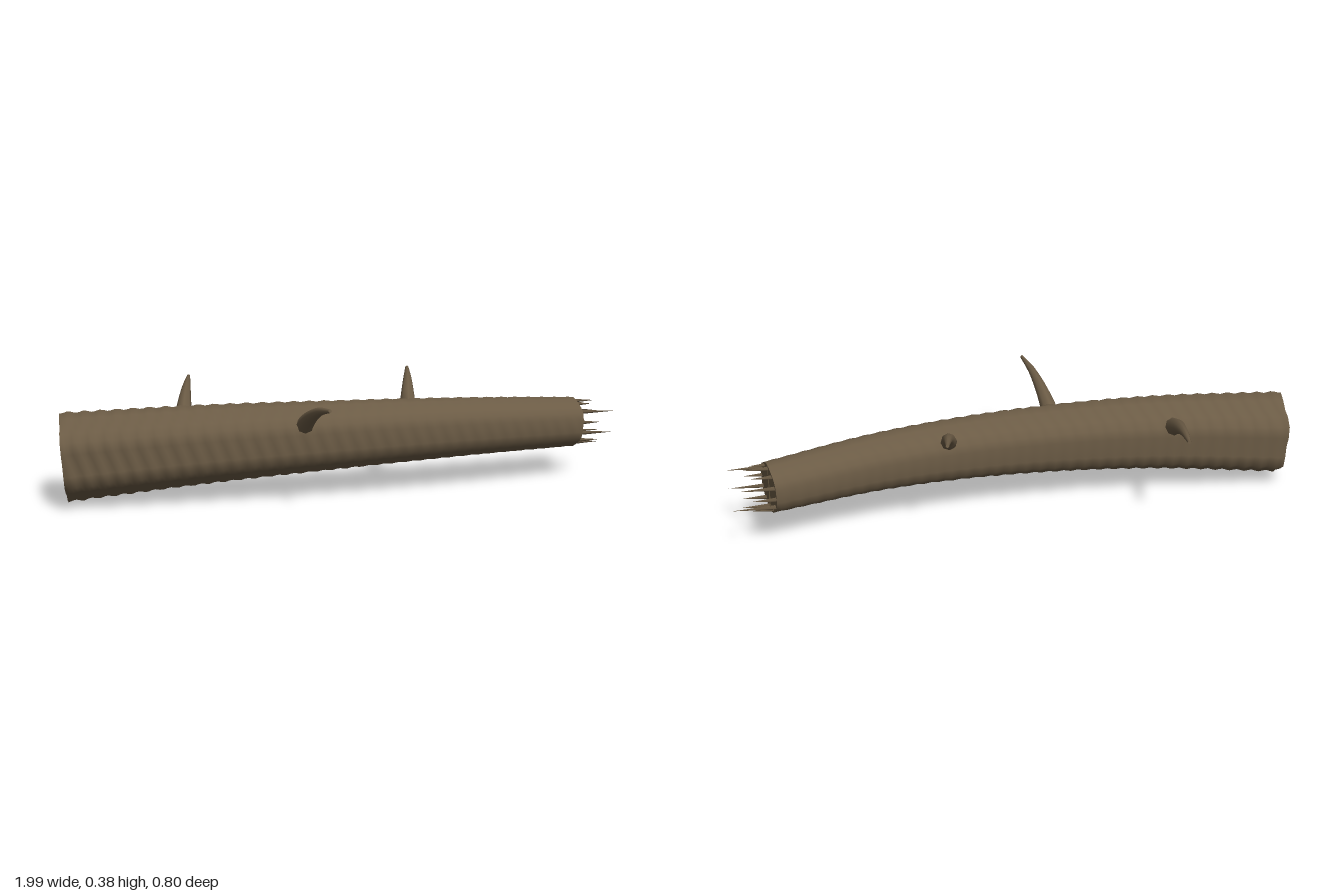
import * as THREE from 'three';

const V = (x, y, z) => new THREE.Vector3(x, y, z);
const bark = new THREE.MeshStandardMaterial({ color: 0x6b5b45 });
const wood = new THREE.MeshStandardMaterial({ color: 0x9c8763 });

function add(group, name, geometry, material) {
  const mesh = new THREE.Mesh(geometry, material);
  mesh.name = name;
  group.add(mesh);
  return mesh;
}

// Skin around a curve; radius(t, angle) sets the cross-section, both ends are closed.
function sweep(curve, rings, sides, radius) {
  const pos = [], index = [];
  const ring = (t) => {
    const c = curve.getPointAt(t), n = curve.getTangentAt(t);
    const u = V(0, 0, 1).addScaledVector(n, -n.z);
    if (u.length() < 0.6) u.set(1, 0, 0).addScaledVector(n, -n.x);
    u.normalize();
    const v = V(0, 0, 0).crossVectors(u, n).normalize();
    if (v.y < 0) { v.negate(); u.negate(); }
    const start = pos.length / 3;
    for (let j = 0; j < sides; j++) {
      const a = (j / sides) * Math.PI * 2, r = radius(t, a);
      const p = c.clone().addScaledVector(u, r * Math.cos(a)).addScaledVector(v, r * Math.sin(a));
      pos.push(p.x, p.y, p.z);
    }
    // Whether the ring turns anticlockwise about the direction of travel
    return { start, c, turn: V(0, 0, 0).crossVectors(u, v).dot(n) > 0 };
  };
  const tri = (turn, a, b, c) => (turn ? index.push(a, b, c) : index.push(a, c, b));
  for (let i = 0; i <= rings; i++) {
    const { start, turn } = ring(i / rings);
    if (i === 0) continue;
    for (let j = 0; j < sides; j++) {
      const k = (j + 1) % sides, s = start - sides;
      tri(turn, s + j, s + k, start + j);
      tri(turn, s + k, start + k, start + j);
    }
  }
  for (const t of [0, 1]) {
    const { start, c, turn } = ring(t);
    const hub = pos.length / 3;
    pos.push(c.x, c.y, c.z);
    for (let j = 0; j < sides; j++) tri(turn === (t === 1), hub, start + j, start + ((j + 1) % sides));
  }
  const g = new THREE.BufferGeometry();
  g.setAttribute('position', new THREE.Float32BufferAttribute(pos, 3));
  g.setIndex(index);
  g.computeVertexNormals();
  return g;
}

export function createModel() {
  const log = new THREE.Group();
  log.name = 'brokenLog';

  // Bent trunk with six lengthwise ridges and fine rings in the bark
  const spine = new THREE.CatmullRomCurve3([
    V(-0.985, 0.162, 0.013), V(-0.5, 0.195, 0.035), V(0, 0.21, 0.022),
    V(0.45, 0.21, -0.033), V(0.857, 0.194, -0.125),
  ]);
  add(log, 'trunk', sweep(spine, 136, 24, (t, a) => {
    const base = 0.146 - 0.057 * t;
    const lobes = 1 - 0.075 * (1 - 0.6 * t) * Math.cos(6 * a);
    const rings = 1 + 0.022 * (1 - 0.5 * t) * Math.sin(t * Math.PI * 68 + 2 * Math.sin(3 * a));
    return base * lobes * rings;
  }), bark);

  // Pale cut discs at both ends
  for (const [name, x, y, z, r, dir] of [
    ['thickEndWood', -0.988, 0.162, 0.013, 0.147, -1],
    ['brokenEndWood', 0.858, 0.194, -0.125, 0.083, 1],
  ]) {
    const disc = add(log, name, new THREE.CircleGeometry(r, 20), wood);
    disc.position.set(x, y, z);
    disc.rotation.y = dir * Math.PI / 2;
  }

  // Tapering branch stubs that level off towards the tip
  const branches = [
    [V(-0.575, 0.24, -0.03), V(-0.557, 0.305, -0.17), V(-0.54, 0.342, -0.29), V(-0.525, 0.356, -0.397)],
    [V(-0.175, 0.235, 0.08), V(-0.16, 0.305, 0.185), V(-0.142, 0.352, 0.3), V(-0.122, 0.373, 0.397)],
    [V(0.225, 0.24, -0.03), V(0.243, 0.312, -0.13), V(0.26, 0.357, -0.22), V(0.277, 0.38, -0.314)],
  ];
  for (const points of branches) {
    add(log, 'branch', sweep(new THREE.CatmullRomCurve3(points), 8, 8, (t) => 0.036 - 0.03 * t), bark);
  }

  // Ring of splinters around the broken end
  const lengths = [0.075, 0.13, 0.06, 0.09, 0.07, 0.115, 0.08, 0.14, 0.065, 0.1, 0.085, 0.125];
  lengths.forEach((length, i) => {
    const a = (i / lengths.length) * Math.PI * 2 + 0.15;
    const cone = add(log, 'splinter', new THREE.ConeGeometry(0.009, length + 0.01, 4), bark);
    const z = 0.076 * Math.cos(a);
    cone.rotation.z = -Math.PI / 2;
    cone.position.set(0.85 + 0.15 * z + length / 2, 0.194 + 0.076 * Math.sin(a), -0.125 + z);
  });
  return log;
}
